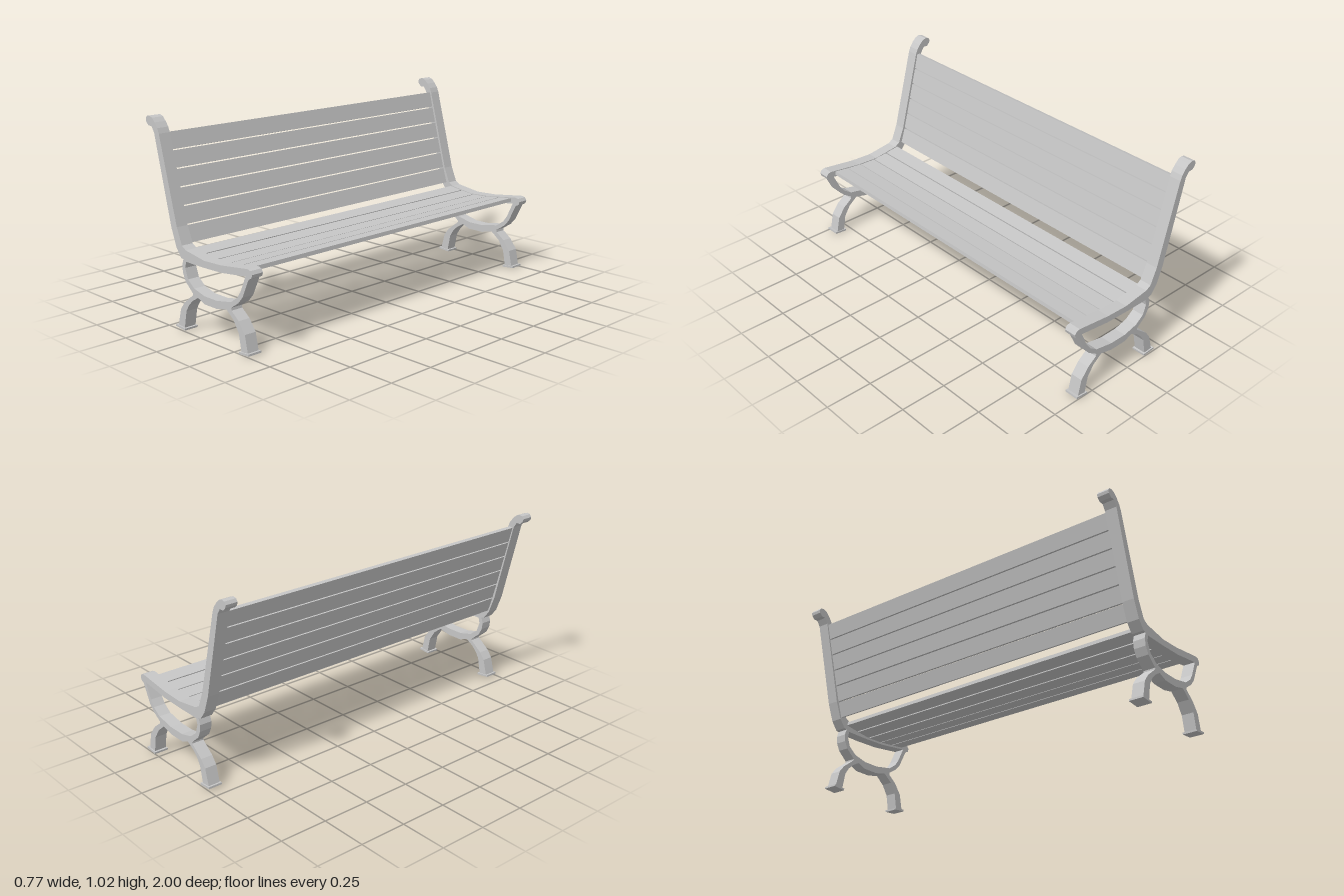
import * as THREE from 'three';

const FRAME_INNER = 0.93, FRAME_DEPTH = 0.063;

// Side profile of one cast end frame: backrest, seat rail, ring and legs (x, y)
const OUTLINE = [
  [-.382, .985], [-.386, 1], [-.376, 1.014], [-.357, 1.018], [-.335, 1.01], [-.314, .99],
  [-.295, .965], [-.284, .94], [-.168, .508], [-.133, .425], [-.104, .408], [.036, .387],
  [.16, .392], [.352, .416], [.371, .411], [.382, .395], [.377, .378], [.357, .368],
  [.311, .274], [.279, .239], [.228, .206], [.23, .193], [.28, .155], [.322, .1],
  [.341, .012], [.295, .009], [.279, .096], [.244, .15], [.193, .19], [.123, .174],
  [.031, .174], [-.02, .193], [-.063, .168], [-.093, .139], [-.115, .104], [-.133, .014],
  [-.182, .018], [-.158, .106], [-.128, .144], [-.058, .198], [-.058, .206], [-.112, .252],
  [-.131, .29], [-.136, .327], [-.125, .36], [-.142, .363], [-.177, .408], [-.212, .5],
  [-.322, .94], [-.341, .969], [-.365, .969]
];
const OPENING = [
  [-.104, .352], [-.112, .32], [-.093, .268], [-.047, .233], [.031, .214], [.125, .214],
  [.228, .233], [.274, .265], [.298, .298], [.336, .379], [.166, .357], [.023, .352]
];
const toPoints = (list) => list.map(([x, y]) => new THREE.Vector2(x, y));

export function createModel() {
  const group = new THREE.Group();
  const grey = new THREE.MeshStandardMaterial({ color: 0xc6c6c6 });
  grey.name = 'plain grey';

  // Box laid between two profile points, running along z
  function bar(name, a, b, thickness, length, z = 0) {
    const dx = b[0] - a[0], dy = b[1] - a[1];
    const mesh = new THREE.Mesh(new THREE.BoxGeometry(Math.hypot(dx, dy), thickness, length), grey);
    mesh.position.set((a[0] + b[0]) / 2, (a[1] + b[1]) / 2, z);
    mesh.rotation.z = Math.atan2(dy, dx);
    mesh.name = name;
    group.add(mesh);
  }

  // End frames with their foot pads
  const shape = new THREE.Shape(toPoints(OUTLINE));
  shape.holes.push(new THREE.Path(toPoints(OPENING)));
  const frameGeometry = new THREE.ExtrudeGeometry(shape, { depth: FRAME_DEPTH, bevelEnabled: false });
  for (const side of [1, -1]) {
    const frame = new THREE.Mesh(frameGeometry, grey);
    frame.name = side > 0 ? 'frontEndFrame' : 'rearEndFrame';
    frame.position.z = side > 0 ? FRAME_INNER : -FRAME_INNER - FRAME_DEPTH;
    group.add(frame);
    const padZ = side * 0.9625;
    bar('backFootPad', [-.193, .017], [-.122, .011], .01, .075, padZ);
    bar('frontFootPad', [.284, .006], [.354, .012], .01, .075, padZ);
  }

  // Seat slats follow the dip of the seat rail
  const seat = [
    [[-.12, .396], [-.041, .384]], [[-.034, .383], [.048, .374]], [[.055, .374], [.145, .377]],
    [[.151, .378], [.235, .387]], [[.242, .388], [.322, .398]]
  ];
  for (const [a, b] of seat) bar('seatSlat', a, b, .02, 2 * FRAME_INNER);

  // Back slats follow the leaning backrest
  const back = [[-.162, .42], [-.19, .507], [-.214, .595], [-.237, .682], [-.26, .769], [-.283, .856], [-.304, .938]];
  for (let i = 0; i < back.length - 1; i++) {
    const [x0, y0] = back[i], [x1, y1] = back[i + 1];
    const gap = i < back.length - 2 ? .93 : 1;
    bar('backSlat', [x0, y0], [x0 + (x1 - x0) * gap, y0 + (y1 - y0) * gap], .02, 2 * FRAME_INNER);
  }
  return group;
}
